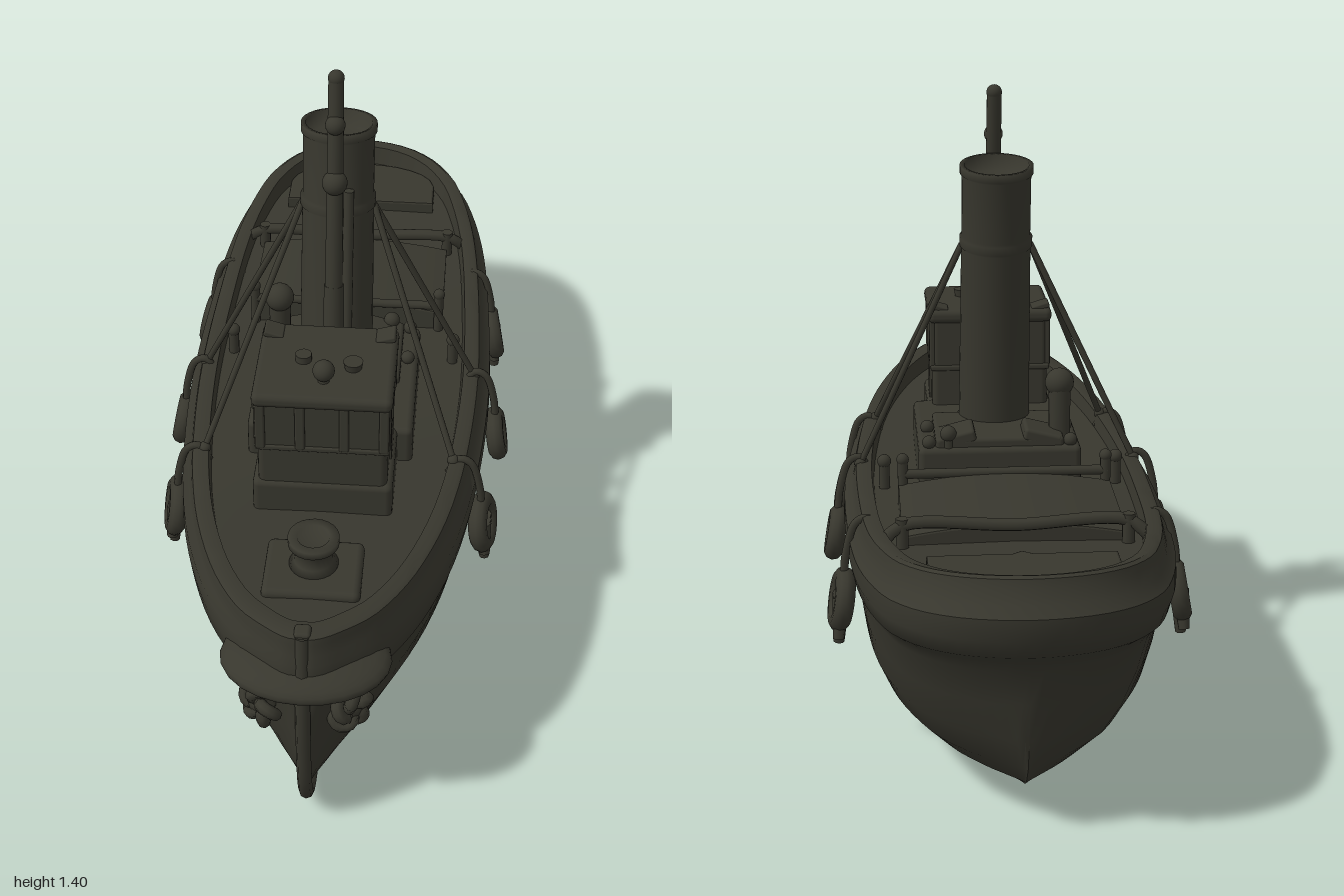
import * as THREE from 'three';
import { toCreasedNormals } from 'three/addons/utils/BufferGeometryUtils.js';
import { RoundedBoxGeometry } from 'three/addons/geometries/RoundedBoxGeometry.js';

const iron = new THREE.MeshStandardMaterial({ color: 0x38372e });
iron.name = 'dark iron';

const V = (x, y, z) => new THREE.Vector3(x, y, z);

// Half-width of the plan outline, from bow (0) to stern (1)
const plan = [[0, 0.05], [0.02, 0.25], [0.05, 0.43], [0.13, 0.67], [0.23, 0.84], [0.34, 0.94], [0.49, 1],
  [0.64, 0.99], [0.79, 0.93], [0.9, 0.79], [0.95, 0.63], [0.98, 0.43], [1, 0]];

// Smooth interpolation of the squared width, which keeps both ends round
function planWidth(s) {
  let i = 1;
  while (i < plan.length - 1 && plan[i][0] < s) i++;
  const at = k => plan[Math.min(Math.max(k, 0), plan.length - 1)];
  const slope = k => (at(k + 1)[1] ** 2 - at(k - 1)[1] ** 2) / (at(k + 1)[0] - at(k - 1)[0]);
  const a = at(i - 1), b = at(i), d = b[0] - a[0], t = (s - a[0]) / d;
  const sq = (1 + 2 * t) * (1 - t) ** 2 * a[1] ** 2 + t * (1 - t) ** 2 * d * slope(i - 1)
    + t * t * (3 - 2 * t) * b[1] ** 2 + t * t * (t - 1) * d * slope(i);
  return Math.sqrt(Math.max(0, sq));
}

// Sheer: the hull rises towards both ends
const rise = (y, z) => (z > 0 ? 0.062 : 0.075) * (z / 0.95) ** 2 * (y / 0.53) ** 3;

// Waterlines from keel to rail, then inside down to the deck:
// [height, bow z, stern z, half beam, fineness of the bow, fineness of the stern]
const levels = [
  [0.005, 0.78, -0.42, 0, 1, 1], [0.008, 0.8, -0.46, 0.022, 1, 1], [0.028, 0.86, -0.62, 0.075, 2.4, 2.6],
  [0.05, 0.89, -0.71, 0.15, 2.6, 2.8], [0.075, 0.91, -0.78, 0.215, 2.5, 2.7], [0.1, 0.925, -0.825, 0.262, 2.3, 2.5],
  [0.15, 0.938, -0.865, 0.302, 2, 2.1], [0.22, 0.946, -0.89, 0.326, 1.65, 1.65], [0.3, 0.95, -0.905, 0.336, 1.35, 1.28],
  [0.37, 0.95, -0.925, 0.341, 1.15, 1.1], [0.395, 0.95, -0.945, 0.344, 1.06, 1], [0.408, 0.953, -0.97, 0.358, 1, 1],
  [0.44, 0.957, -0.995, 0.364, 1, 1], [0.475, 0.957, -0.998, 0.362, 1, 1], [0.492, 0.95, -0.98, 0.344, 1, 1],
  [0.515, 0.948, -0.962, 0.338, 1, 1], [0.527, 0.946, -0.958, 0.334, 1, 1],
  [0.531, 0.935, -0.95, 0.325, 1, 1], [0.528, 0.89, -0.93, 0.298, 1, 1], [0.494, 0.88, -0.92, 0.293, 1, 1],
  [0.498, 0.86, -0.9, 0, 1, 1]];

function hullGeometry() {
  const half = 48, n = half * 2, pos = [], idx = [];
  for (const [y, zb, zs, w, bowE, sternE] of levels) {
    for (let i = 0; i < n; i++) {
      const s = (1 - Math.cos(Math.PI * i / half)) / 2;
      const z = zb + (zs - zb) * s;
      pos.push((i <= half ? 1 : -1) * w * planWidth(s) ** (s < 0.49 ? bowE : sternE), y + rise(y, z), z);
    }
  }
  for (let l = 0; l < levels.length - 1; l++) {
    for (let i = 0; i < n; i++) {
      const j = (i + 1) % n, a = l * n + i, b = l * n + j;
      idx.push(a, b, b + n, a, b + n, a + n);
    }
  }
  const g = new THREE.BufferGeometry();
  g.setAttribute('position', new THREE.Float32BufferAttribute(pos, 3));
  g.setIndex(idx);
  return toCreasedNormals(g, 0.7);
}

export function createModel() {
  const boat = new THREE.Group();
  boat.name = 'tugboat';

  const add = (name, geo, x = 0, y = 0, z = 0, rx = 0, ry = 0, rz = 0) => {
    const m = new THREE.Mesh(geo, iron);
    m.name = name;
    m.position.set(x, y, z);
    m.rotation.set(rx, ry, rz, 'ZYX');
    boat.add(m);
    return m;
  };
  const box = (name, w, h, d, x, y, z, r = 0.008) => add(name, new RoundedBoxGeometry(w, h, d, 2, r), x, y, z);
  const ball = (name, r, x, y, z) => add(name, new THREE.SphereGeometry(r, 24, 16), x, y, z);
  const rod = (name, a, b, r0, r1 = r0, sides = 10) => {
    const d = b.clone().sub(a), c = a.clone().add(b).multiplyScalar(0.5);
    const m = add(name, new THREE.CylinderGeometry(r1, r0, d.length(), sides), c.x, c.y, c.z);
    m.quaternion.setFromUnitVectors(V(0, 1, 0), d.normalize());
    return m;
  };
  const rope = (name, pts, r, seg = 24) =>
    add(name, new THREE.TubeGeometry(new THREE.CatmullRomCurve3(pts.map(p => V(...p))), seg, r, 8));

  // Hull, keel bar and bow fender
  add('hull', hullGeometry());
  rope('stemAndKeel', [[0, 0.59, 0.938], [0, 0.45, 0.95], [0, 0.28, 0.948], [0, 0.13, 0.928], [0, 0.055, 0.885],
    [0, 0.022, 0.79], [0, 0.018, 0.4], [0, 0.016, 0], [0, 0.018, -0.42]], 0.016, 60);
  ball('bowFender', 1, 0, 0.46, 0.87).scale.set(0.18, 0.045, 0.13);
  box('bowPost', 0.035, 0.05, 0.035, 0, 0.572, 0.925);

  // Capstan on the foredeck
  box('capstanBase', 0.21, 0.035, 0.17, 0, 0.53, 0.69, 0.015);
  add('capstan', new THREE.LatheGeometry([[0, 0], [0.06, 0], [0.042, 0.02], [0.038, 0.05], [0.055, 0.065],
    [0.055, 0.082], [0.035, 0.082], [0.03, 0.072], [0, 0.072]].map(p => new THREE.Vector2(...p)), 24), 0, 0.54, 0.68);

  // Wheelhouse with framed windows and side doors
  box('wheelhouse', 0.285, 0.33, 0.245, 0, 0.655, 0.35, 0.015);
  box('wheelhouseFoot', 0.31, 0.1, 0.26, 0, 0.54, 0.35, 0.015);
  box('wheelhouseRoof', 0.305, 0.035, 0.27, 0, 0.817, 0.35, 0.015);
  box('windowSill', 0.294, 0.014, 0.254, 0, 0.685, 0.35, 0.005);
  for (const x of [-0.135, -0.048, 0.048, 0.135]) box('windowPost', 0.022, 0.12, 0.015, x, 0.745, 0.472, 0.005);
  for (const s of [-1, 1]) {
    for (const z of [0.24, 0.35, 0.46]) box('sideWindowPost', 0.015, 0.12, 0.02, s * 0.142, 0.745, z, 0.005);
    box('doorPanel', 0.009, 0.12, 0.08, s * 0.143, 0.625, 0.34, 0.003);
    box('roofCorner', 0.045, 0.014, 0.05, s * 0.125, 0.836, 0.25, 0.004).rotation.z = s * 0.3;
  }
  ball('searchlight', 0.024, 0, 0.862, 0.42);
  add('searchlightStand', new THREE.CylinderGeometry(0.01, 0.014, 0.03, 12), 0, 0.842, 0.42);
  add('roofVent', new THREE.CylinderGeometry(0.022, 0.018, 0.02, 14), 0.06, 0.842, 0.37);
  add('roofVent', new THREE.CylinderGeometry(0.018, 0.018, 0.018, 14), -0.05, 0.842, 0.35);

  // Engine casing and its fittings
  box('engineCasing', 0.38, 0.11, 0.4, 0, 0.535, 0.08, 0.015);
  box('casingTop', 0.3, 0.03, 0.22, 0, 0.595, 0, 0.01);
  for (const s of [-1, 1]) {
    box('skylight', 0.09, 0.03, 0.1, s * 0.1, 0.605, -0.06).rotation.z = s * -0.25;
    for (const z of [-0.1, 0.02]) ball('casingKnob', 0.016, s * 0.165, 0.6, z);
  }
  rod('ventPipe', V(-0.145, 0.56, -0.04), V(-0.145, 0.71, -0.04), 0.026);
  ball('ventCowl', 0.034, -0.145, 0.72, -0.035);
  rod('smallVentPipe', V(0.12, 0.56, -0.1), V(0.12, 0.615, -0.1), 0.014);
  ball('smallVentCowl', 0.019, 0.12, 0.62, -0.1);

  // Raked funnel with collars and an open top
  add('funnel', new THREE.LatheGeometry([[0.1, 0], [0.1, 0.02], [0.085, 0.035], [0.081, 0.47], [0.085, 0.475],
    [0.085, 0.495], [0.08, 0.5], [0.08, 0.645], [0.085, 0.65], [0.085, 0.668], [0.074, 0.668], [0.07, 0.63], [0, 0.63]]
    .map(p => new THREE.Vector2(...p)), 32), 0, 0.57, 0.1, -0.147);
  rod('steamPipe', V(0.03, 0.6, 0.185), V(0.03, 1.12, 0.108), 0.012);

  // Mast with lamps
  rod('mastFoot', V(0, 0.62, 0.2), V(0, 0.9, 0.155), 0.026, 0.022, 14);
  rod('mast', V(0, 0.85, 0.165), V(0, 1.39, 0.08), 0.02, 0.017, 14);
  ball('mastCap', 0.018, 0, 1.385, 0.081);
  ball('mastLamp', 0.028, 0, 1.15, 0.125);
  ball('upperLamp', 0.022, 0, 1.285, 0.108);
  rod('mastBracket', V(0, 1.07, 0.13), V(0, 1.07, 0.05), 0.014);

  // Shrouds, tyres and rope fenders on both sides
  for (const s of [-1, 1]) {
    for (const [x, y, z] of [[0.325, 0.525, -0.02], [0.285, 0.535, 0.31]]) {
      rod('shroud', V(s * 0.08, 1.04, 0.03), V(s * x, y, z), 0.0075);
      ball('shroudEnd', 0.014, s * x, y, z);
    }
    for (const [z, x, r] of [[0.31, 0.36, 0.05], [-0.015, 0.387, 0.045], [-0.43, 0.372, 0.05]]) {
      const turn = z > 0.2 ? -0.18 : z < -0.2 ? 0.1 : 0;
      add('tyreFender', new THREE.TorusGeometry(r, 0.022, 10, 24), s * x, 0.352, z, 0, s * (Math.PI / 2 + turn), s * 0.18);
      rope('fenderRope', [[s * (x - 0.085), 0.5, z], [s * (x - 0.06), 0.54, z], [s * (x - 0.035), 0.53, z],
        [s * (x - 0.012), 0.46, z], [s * (x - 0.005), 0.385, z]], 0.009);
      if (Math.abs(z) > 0.2) {
        for (const [dz, low] of [[-0.04, 0.275], [0.005, 0.25], [0.035, 0.285]])
          rod('ropeTail', V(s * x, 0.36, z + dz * 0.4), V(s * (x + 0.008), low, z + dz), 0.02, 0.012, 8);
      }
    }
    // Knotted bow fenders
    add('knotFender', new THREE.TorusKnotGeometry(0.029, 0.014, 64, 8, 2, 5), s * 0.095, 0.345, 0.9, 0, s * 0.75, 0);
    ball('knotCore', 0.04, s * 0.088, 0.345, 0.88);
    // Bollards beside the casing
    rod('bollard', V(s * 0.27, 0.48, -0.11), V(s * 0.27, 0.56, -0.11), 0.013);
    ball('bollardHead', 0.016, s * 0.27, 0.56, -0.11);
  }

  // Domed aft hatch, sloping down towards the stern, and towing beams
  const hatch = new THREE.Shape();
  hatch.moveTo(-0.235, 0);
  hatch.lineTo(0.235, 0);
  hatch.lineTo(0.235, 0.05);
  hatch.quadraticCurveTo(0, 0.095, -0.235, 0.05);
  add('aftHatch', new THREE.ExtrudeGeometry(hatch,
    { depth: 0.29, bevelSize: 0.005, bevelThickness: 0.005, bevelSegments: 2, curveSegments: 20 }), 0, 0.48, -0.53, -0.04);
  rope('towingBeam', [[-0.28, 0.535, -0.56], [-0.24, 0.565, -0.55], [0, 0.56, -0.55], [0.24, 0.565, -0.55], [0.28, 0.535, -0.56]], 0.014);
  rod('forwardBeam', V(-0.235, 0.57, -0.235), V(0.235, 0.57, -0.235), 0.011);
  for (const s of [-1, 1]) {
    rod('beamPost', V(s * 0.23, 0.48, -0.235), V(s * 0.23, 0.605, -0.235), 0.012);
    ball('beamPostHead', 0.014, s * 0.23, 0.605, -0.235);
    rod('towingPost', V(s * 0.24, 0.48, -0.55), V(s * 0.24, 0.58, -0.55), 0.014);
  }

  // Raised stern platform
  const bench = new THREE.Shape();
  bench.moveTo(-0.19, 0.72);
  bench.lineTo(-0.02, 0.72);
  bench.lineTo(0, 0.705);
  bench.lineTo(0.02, 0.72);
  bench.lineTo(0.19, 0.72);
  bench.lineTo(0.19, 0.8);
  bench.bezierCurveTo(0.17, 0.93, -0.17, 0.93, -0.19, 0.8);
  add('sternPlatform', new THREE.ExtrudeGeometry(bench, { depth: 0.05, bevelSize: 0.006, bevelThickness: 0.006, bevelSegments: 2 }),
    0, 0.505, 0, -Math.PI / 2);

  return boat;
}
